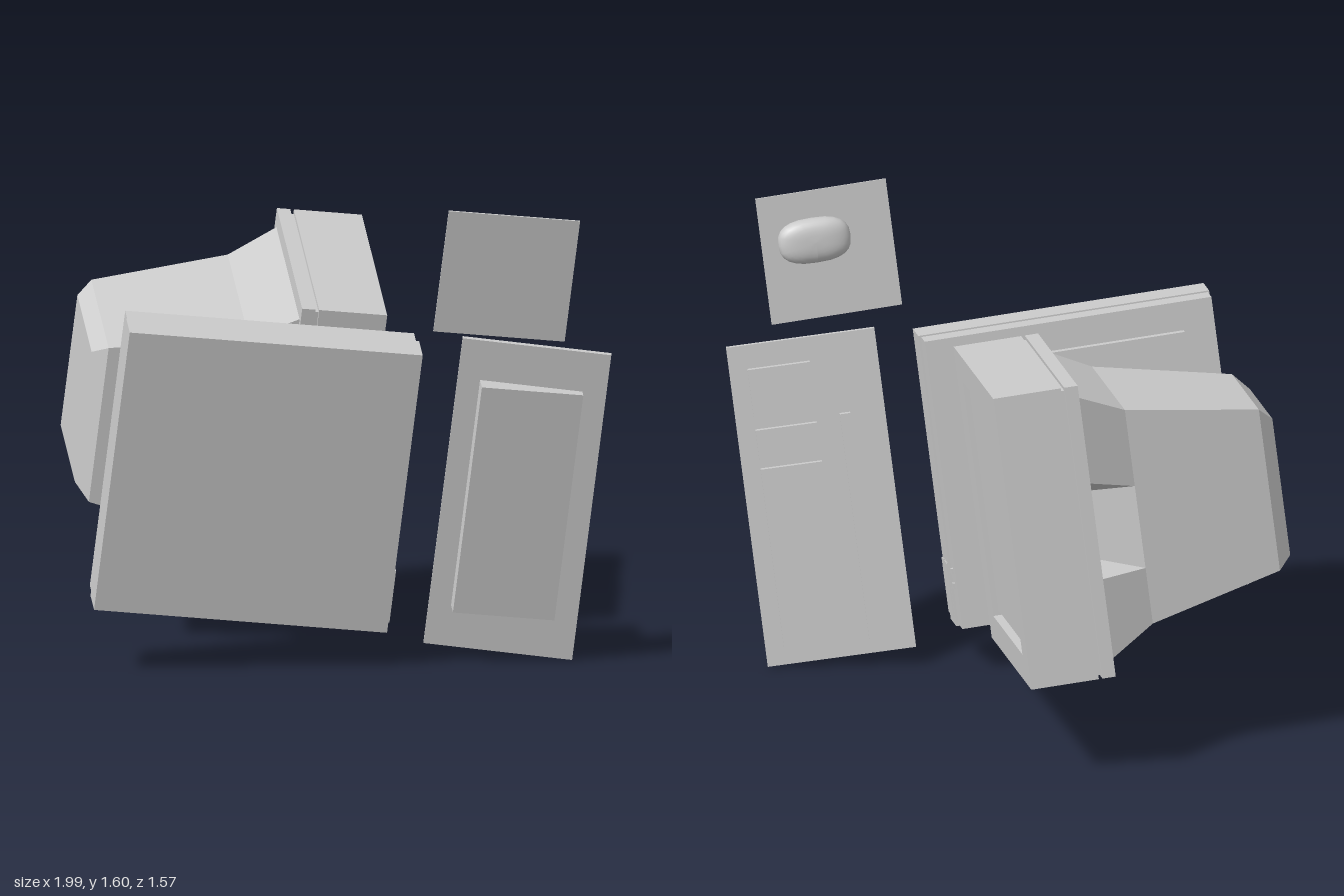
import * as THREE from 'three';

const plastic = new THREE.MeshStandardMaterial({ color: 0xcccccc });
plastic.name = 'grey plastic';

function add(parent, name, geometry) {
  const mesh = new THREE.Mesh(geometry, plastic);
  mesh.name = name;
  parent.add(mesh);
  return mesh;
}

// Box given by its lower and upper bounds on each axis
function block(parent, name, [x0, x1], [y0, y1], [z0, z1]) {
  const mesh = add(parent, name, new THREE.BoxGeometry(x1 - x0, y1 - y0, z1 - z0));
  mesh.position.set((x0 + x1) / 2, (y0 + y1) / 2, (z0 + z1) / 2);
  return mesh;
}

function rectPoints(x0, x1, y0, y1) {
  return [[x0, y0], [x1, y0], [x1, y1], [x0, y1]].map(p => new THREE.Vector2(...p));
}

// Flat-shaded skin through cross-section loops, closed at the last one
function loft(loops) {
  const pos = [];
  const tri = (a, b, c) => pos.push(...a, ...b, ...c);
  const n = loops[0].length;
  for (let k = 0; k < loops.length - 1; k++) {
    const a = loops[k], b = loops[k + 1];
    for (let i = 0; i < n; i++) {
      const j = (i + 1) % n;
      tri(a[i], a[j], b[j]);
      tri(a[i], b[j], b[i]);
    }
  }
  const last = loops[loops.length - 1];
  for (let i = 1; i < n - 1; i++) tri(last[0], last[i], last[i + 1]);
  const g = new THREE.BufferGeometry();
  g.setAttribute('position', new THREE.Float32BufferAttribute(pos, 3));
  g.computeVertexNormals();
  return g;
}

function makeCase() {
  const g = new THREE.Group();
  g.name = 'computerCase';
  block(g, 'caseLower', [0.185, 1.177], [-0.275, -0.147], [-0.215, 0.767]);
  block(g, 'caseUpper', [0.19, 1.172], [-0.147, -0.065], [-0.206, 0.762]);
  // Vent bars and buttons on the front
  for (let i = 0; i < 5; i++) {
    const y = -0.258 + i * 0.024;
    block(g, 'ventBar', [0.215, 0.4], [y, y + 0.011], [-0.221, -0.21]);
  }
  for (const x of [0.32, 0.37]) block(g, 'caseButton', [x, x + 0.02], [-0.115, -0.098], [-0.214, -0.2]);
  return g;
}

function makeMonitor() {
  const g = new THREE.Group();
  g.name = 'monitor';
  const x0 = 0.178, x1 = 1.172, y0 = 0.08, y1 = 0.985;
  // Stand
  block(g, 'standPlate', [0.275, 1.075], [-0.07, -0.035], [-0.01, 0.655]);
  block(g, 'standNeck', [0.53, 0.82], [-0.035, 0.13], [0.02, 0.45]);
  // Bezel with opening, and the screen set back inside it
  const frame = new THREE.Shape(rectPoints(x0, x1, y0, y1));
  frame.holes.push(new THREE.Path(rectPoints(0.275, 1.08, 0.2, 0.865).reverse()));
  const bezel = add(g, 'bezel', new THREE.ExtrudeGeometry(frame, { depth: 0.035, bevelEnabled: false }));
  bezel.position.z = -0.13;
  block(g, 'screen', [0.295, 1.06], [0.22, 0.845], [-0.112, -0.09]);
  // Housing, groove and back rim
  block(g, 'housing', [x0, x1], [y0, y1], [-0.095, 0.098]);
  block(g, 'housingGroove', [x0 + 0.012, x1 - 0.012], [y0 + 0.012, y1 - 0.012], [0.09, 0.115]);
  block(g, 'housingRim', [x0, x1], [y0, y1], [0.11, 0.155]);
  // Tapered tube cover with a hand recess on top
  const ring = (z, a, b, c, d, dip) => [
    [a, c, z], [b, c, z], [b, d, z], [0.83, d, z], [0.78, dip, z], [0.55, dip, z], [0.5, d, z], [a, d, z],
  ];
  add(g, 'tubeCover', loft([
    ring(0.15, 0.225, 1.125, 0.11, 0.94, 0.82),
    ring(0.315, 0.31, 1.04, 0.115, 0.865, 0.865),
    ring(0.77, 0.4, 0.95, 0.155, 0.77, 0.77),
    ring(0.815, 0.44, 0.905, 0.225, 0.735, 0.735),
  ]));
  // Control box under the bezel
  block(g, 'controlBox', [0.81, 0.99], [0.045, 0.09], [-0.12, -0.05]);
  for (const x of [0.84, 0.92]) block(g, 'controlKnob', [x, x + 0.04], [0.055, 0.075], [-0.128, -0.11]);
  return g;
}

function makeKeyboard() {
  const g = new THREE.Group();
  g.name = 'keyboard';
  // Wedge base resting on the desk
  const wedge = new THREE.Shape([[0.425, -0.275], [0.765, -0.275], [0.765, -0.238], [0.425, -0.204]]
    .map(p => new THREE.Vector2(...p)));
  const base = add(g, 'keyboardBase', new THREE.ExtrudeGeometry(wedge, { depth: 0.805, bevelEnabled: false })
    .rotateY(Math.PI / 2));
  base.position.x = 0.275;
  // Sloping top plate with key blocks
  const top = new THREE.Group();
  top.name = 'keyboardTop';
  top.position.set(0.675, -0.225, -0.5975);
  top.rotation.x = -0.1;
  g.add(top);
  block(top, 'keyboardPlate', [-0.545, 0.545], [0, 0.02], [-0.248, 0.248]);
  const keys = [
    ['numberKeys', 0.305, 0.465, -0.187, 0.021],
    ['arrowKeys', 0.154, 0.258, -0.187, 0.018],
    ['mainKeys', -0.485, 0.125, -0.187, 0.018],
    ['functionKeys', -0.5, 0.275, 0.097, 0.132],
  ];
  for (const [name, a, b, c, d] of keys) block(top, name, [a, b], [0.015, 0.042], [c, d]);
  return g;
}

function makeMouse() {
  const g = new THREE.Group();
  g.name = 'mouseAndPad';
  block(g, 'mousePad', [1.265, 1.695], [-0.275, -0.268], [-0.68, -0.24]);
  // Sphere squared off into a rounded, flat-bottomed shell
  const geo = new THREE.SphereGeometry(1, 24, 16);
  const p = geo.attributes.position;
  const soft = v => Math.sign(v) * Math.abs(v) ** 0.75;
  for (let i = 0; i < p.count; i++) {
    p.setXYZ(i, soft(p.getX(i)) * 0.075, Math.max(soft(p.getY(i)) * 0.045, -0.04), soft(p.getZ(i)) * 0.122);
  }
  geo.computeVertexNormals();
  add(g, 'mouse', geo).position.set(1.535, -0.23, -0.507);
  return g;
}

export function createModel() {
  const model = new THREE.Group();
  model.name = 'desktopComputer';
  const desk = new THREE.Group();
  desk.name = 'tiltedSet';
  desk.add(makeCase(), makeMonitor(), makeKeyboard(), makeMouse());
  // The whole set is tipped on its side
  const x = new THREE.Vector3(0.187, 0.98, 0.045).normalize();
  const z = new THREE.Vector3(-0.709, 0.1, 0.698);
  z.addScaledVector(x, -z.dot(x)).normalize();
  const y = new THREE.Vector3().crossVectors(z, x);
  desk.quaternion.setFromRotationMatrix(new THREE.Matrix4().makeBasis(x, y, z));
  model.add(desk);
  return model;
}
